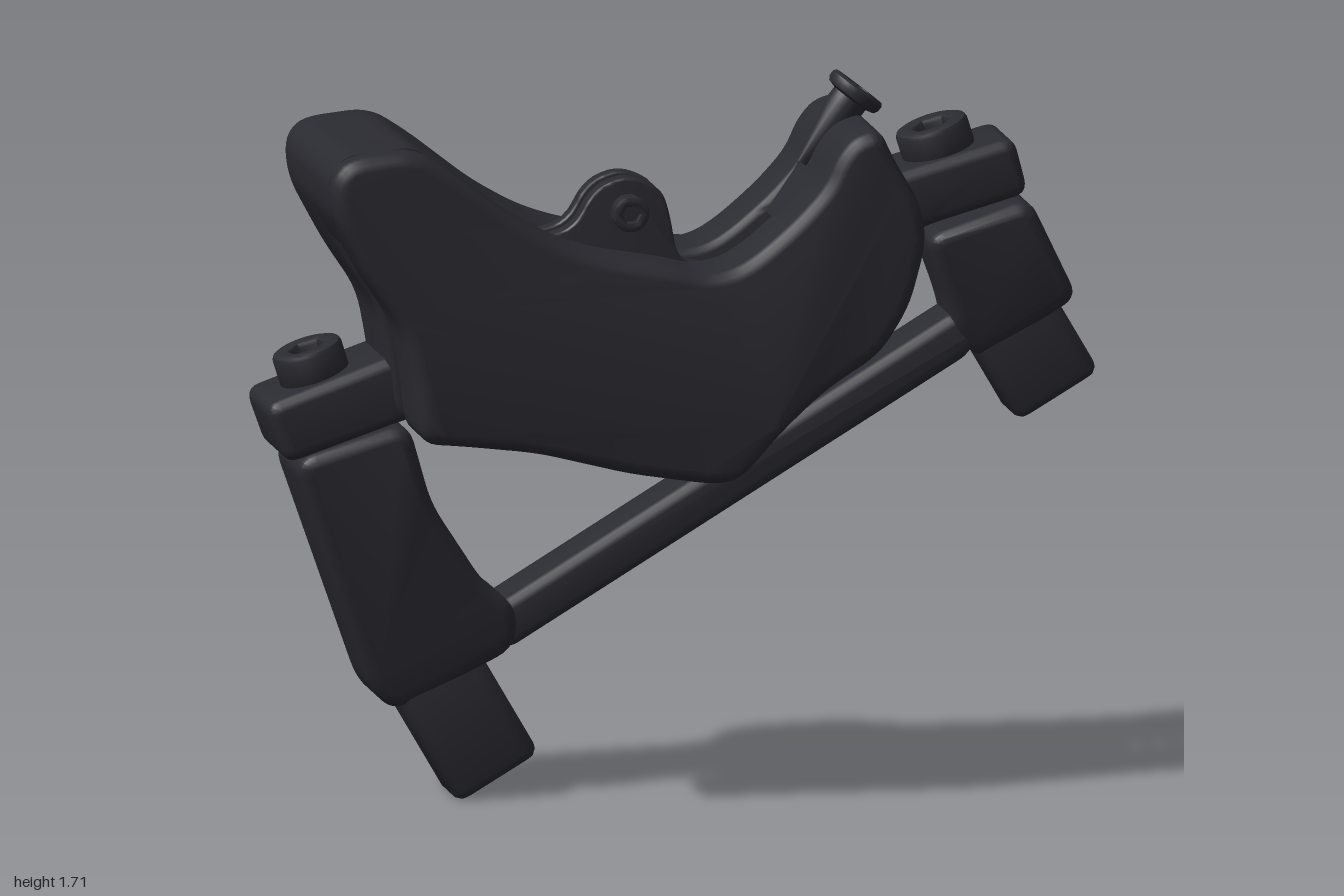
import * as THREE from 'three';
import { toCreasedNormals } from 'three/addons/utils/BufferGeometryUtils.js';

const black = new THREE.MeshStandardMaterial({ color: 0x2a2a31 });
black.name = 'satin black';

// closed outline with softened corners
function outline(pts, r) {
  const s = new THREE.Shape();
  const v = pts.map(p => new THREE.Vector2(p[0], p[1]));
  v.forEach((p, i) => {
    const a = v[(i + v.length - 1) % v.length], b = v[(i + 1) % v.length];
    const toward = q => p.clone().lerp(q, Math.min(0.45, r / p.distanceTo(q)));
    const s0 = toward(a), s1 = toward(b);
    if (i === 0) s.moveTo(s0.x, s0.y); else s.lineTo(s0.x, s0.y);
    s.quadraticCurveTo(p.x, p.y, s1.x, s1.y);
  });
  s.closePath();
  return s;
}

// bevelled slab from z0 to z1, optionally reshaped by a rule
function slab(name, shape, z0, z1, bevel = 0.03, rule = null) {
  let g = new THREE.ExtrudeGeometry(shape, {
    depth: z1 - z0 - 2 * bevel, bevelEnabled: bevel > 0, bevelThickness: bevel,
    bevelSize: bevel, bevelOffset: -bevel, bevelSegments: 3, curveSegments: 5,
  });
  g.translate(0, 0, z0 + bevel);
  if (rule) {
    const p = g.attributes.position;
    for (let i = 0; i < p.count; i++) p.setZ(i, rule(p.getX(i), p.getY(i), p.getZ(i)));
  }
  g = toCreasedNormals(g, 0.6);
  const m = new THREE.Mesh(g, black);
  m.name = name;
  return m;
}

// round bolt head with a hex socket, facing dir
function bolt(name, r, h, pos, dir) {
  const grp = new THREE.Group();
  grp.name = name;
  const s = new THREE.Shape();
  s.absarc(0, 0, r, 0, Math.PI * 2, false);
  const hex = [];
  for (let i = 0; i < 6; i++) {
    const a = i * Math.PI / 3;
    hex.push(new THREE.Vector2(Math.cos(a) * r * 0.5, Math.sin(a) * r * 0.5));
  }
  s.holes.push(new THREE.Path(hex.reverse()));
  const b = r * 0.15;
  const ringGeo = new THREE.ExtrudeGeometry(s, {
    depth: h - 2 * b, bevelThickness: b, bevelSize: b, bevelOffset: -b, bevelSegments: 2, curveSegments: 14,
  });
  ringGeo.translate(0, 0, b);
  const ring = new THREE.Mesh(toCreasedNormals(ringGeo, 0.6), black);
  ring.name = 'boltHead';
  const floorGeo = new THREE.CylinderGeometry(r * 0.7, r * 0.7, h * 0.5, 20);
  floorGeo.rotateX(Math.PI / 2).translate(0, 0, h * 0.25);
  const floor = new THREE.Mesh(floorGeo, black);
  floor.name = 'socketFloor';
  grp.add(ring, floor);
  grp.position.set(...pos);
  grp.quaternion.setFromUnitVectors(new THREE.Vector3(0, 0, 1), new THREE.Vector3(...dir).normalize());
  return grp;
}

// foot pointing away from the tie bar, with a small socket in its end
function foot(name, x, y, len) {
  const w = 0.112, d = 0.085, k = 0.035;
  const s = outline([[-w, -d], [w, -d], [w, d], [-w, d]], 0.04);
  s.holes.push(new THREE.Path([[-k, -k], [-k, k], [k, k], [k, -k]].map(p => new THREE.Vector2(...p))));
  const m = slab(name, s, -len, 0, 0.025);
  const plug = new THREE.Mesh(new THREE.BoxGeometry(0.14, 0.14, len - 0.08), black);
  plug.name = 'socketFloor';
  plug.position.z = -len / 2;
  m.add(plug);
  const c = Math.cos(Math.PI / 6), n = Math.sin(Math.PI / 6);
  m.quaternion.setFromRotationMatrix(new THREE.Matrix4().makeBasis(
    new THREE.Vector3(c, n, 0), new THREE.Vector3(0, 0, 1), new THREE.Vector3(n, -c, 0)));
  m.position.set(x, y, -0.185);
  return m;
}

export function createModel() {
  const model = new THREE.Group();
  model.name = 'brakeCaliper';

  // body halves either side of the disc slot
  const lower = [[0.50, 1.36], [0.46, 1.21], [0.39, 1.10], [0.26, 1.02], [0.16, 0.93], [0.06, 0.82],
    [0.0, 0.81], [-0.2, 0.845], [-0.42, 0.905], [-0.6, 0.93], [-0.70, 0.94], [-0.715, 1.08],
    [-0.74, 1.21], [-0.82, 1.33], [-0.90, 1.48]];
  const horn = [[-0.91, 1.57], [-0.87, 1.62], [-0.71, 1.635], [-0.62, 1.575], [-0.47, 1.455],
    [-0.36, 1.39], [-0.26, 1.355], [-0.1, 1.325], [-0.03, 1.305]];
  const rightArm = [[0.04, 1.315], [0.10, 1.35], [0.19, 1.425], [0.26, 1.5], [0.29, 1.57],
    [0.33, 1.615], [0.39, 1.63], [0.42, 1.56], [0.485, 1.45]];
  const full = outline([...lower, ...horn, ...rightArm], 0.05);
  model.add(slab('frontHalf', full, 0.085, 0.28, 0.03));
  model.add(slab('backHalf', full, -0.18, -0.005, 0.02));
  const plate = outline([...lower, ...horn, [0.1, 1.29], [0.25, 1.31], [0.4, 1.39], [0.5, 1.44]], 0.05);
  model.add(slab('backPlate', plate, -0.25, -0.1, 0.03));

  // bridges closing the slot at both ends
  model.add(slab('leftBridge', outline([[-0.84, 1.37], [-0.9, 1.48], [-0.91, 1.57], [-0.87, 1.62],
    [-0.71, 1.635], [-0.62, 1.575], [-0.57, 1.535], [-0.57, 1.39]], 0.03), -0.15, 0.22, 0));
  model.add(slab('rightBridge', outline([[0.17, 1.38], [0.26, 1.5], [0.29, 1.57], [0.33, 1.615],
    [0.39, 1.63], [0.42, 1.56], [0.485, 1.45], [0.49, 1.38]], 0.03), -0.15, 0.22, 0));

  // raised piston housing on the back
  model.add(slab('pistonHousing', outline([[0.33, 1.0], [0.13, 1.14], [-0.13, 1.21], [-0.4, 1.21],
    [-0.62, 1.14], [-0.66, 0.96], [-0.42, 0.925], [-0.2, 0.865], [0.0, 0.83], [0.06, 0.84], [0.17, 0.94]], 0.05),
  -0.28, -0.15, 0.025));

  // pads with their hanging tabs and pin
  const pad = outline([[-0.57, 0.92], [0.17, 0.92], [0.17, 1.25], [-0.05, 1.3], [-0.07, 1.42],
    [-0.09, 1.48], [-0.17, 1.515], [-0.25, 1.485], [-0.30, 1.39], [-0.57, 1.35]], 0.05);
  model.add(slab('backPad', pad, -0.02, 0.02, 0.006));
  model.add(slab('frontPad', pad, 0.05, 0.095, 0.006));
  const pinGeo = new THREE.CylinderGeometry(0.028, 0.028, 0.18, 16);
  const pin = new THREE.Mesh(pinGeo.rotateX(Math.PI / 2), black);
  pin.name = 'padPin';
  pin.position.set(-0.17, 1.43, 0.035);
  model.add(pin);
  model.add(bolt('pinHeadFront', 0.042, 0.045, [-0.17, 1.43, 0.093], [0, 0, 1]));
  model.add(bolt('pinHeadBack', 0.042, 0.045, [-0.17, 1.43, -0.02], [0, 0, -1]));

  // mounting ears
  model.add(slab('rightEar', outline([[-1.0, 0.985], [-0.71, 1.085], [-0.5, 1.14], [-0.5, 0.97],
    [-0.67, 0.935], [-0.95, 0.845]], 0.035), -0.25, -0.01, 0.025));
  model.add(slab('leftEar', outline([[0.36, 1.42], [0.5, 1.45], [0.78, 1.525], [0.815, 1.39],
    [0.575, 1.325], [0.48, 1.28], [0.36, 1.2]], 0.035), -0.26, -0.045, 0.025));

  // adapter blocks, narrowing in depth toward the feet
  model.add(slab('rightAdapter', outline([[-0.93, 0.85], [-0.66, 0.93], [-0.60, 0.73], [-0.47, 0.53],
    [-0.39, 0.47], [-0.39, 0.37], [-0.67, 0.23], [-0.73, 0.28]], 0.05), -0.275, -0.01, 0.03,
  (x, y, z) => z - Math.max(0, 0.88 - y) * 0.14 * (z + 0.275) / 0.265));
  model.add(slab('leftAdapter', outline([[0.575, 1.295], [0.82, 1.375], [0.94, 1.13], [0.71, 0.99],
    [0.65, 1.06], [0.635, 1.13]], 0.04), -0.275, -0.05, 0.03,
  (x, y, z) => z - Math.max(0, 1.3 - y) * 0.17 * (z + 0.275) / 0.225));
  model.add(slab('tieBar', outline([[-0.5, 0.45], [-0.42, 0.475], [0.65, 1.105], [0.75, 1.1],
    [0.68, 1.0], [-0.4, 0.365]], 0.02), -0.265, -0.1, 0.025));
  model.add(foot('rightFoot', -0.425, 0.06, 0.34));
  model.add(foot('leftFoot', 0.9, 0.895, 0.28));

  // bolts
  const tilt = [-0.3, 0.95, 0];
  model.add(bolt('rightEarBolt', 0.083, 0.085, [-0.855, 1.02, -0.13], tilt));
  model.add(bolt('leftEarBolt', 0.086, 0.085, [0.63, 1.465, -0.16], tilt));
  model.add(bolt('backBoltLeft', 0.095, 0.05, [0.37, 1.19, -0.23], [0, 0, -1]));
  model.add(bolt('backBoltRight', 0.095, 0.05, [-0.63, 1.38, -0.23], [0, 0, -1]));

  // flared hose fitting
  const profile = [[0, -0.22], [0.015, -0.22], [0.045, -0.06], [0.045, -0.035], [0.064, -0.03],
    [0.07, -0.02], [0.07, -0.006], [0.064, 0], [0.035, 0], [0.03, -0.015], [0, -0.015]];
  const lathe = new THREE.LatheGeometry(profile.map(p => new THREE.Vector2(...p)), 24);
  const fitting = new THREE.Mesh(toCreasedNormals(lathe, 0.6), black);
  fitting.name = 'hoseFitting';
  fitting.position.set(0.39, 1.685, 0.04);
  fitting.quaternion.setFromUnitVectors(new THREE.Vector3(0, 1, 0), new THREE.Vector3(0.62, 0.78, 0).normalize());
  model.add(fitting);

  return model;
}
